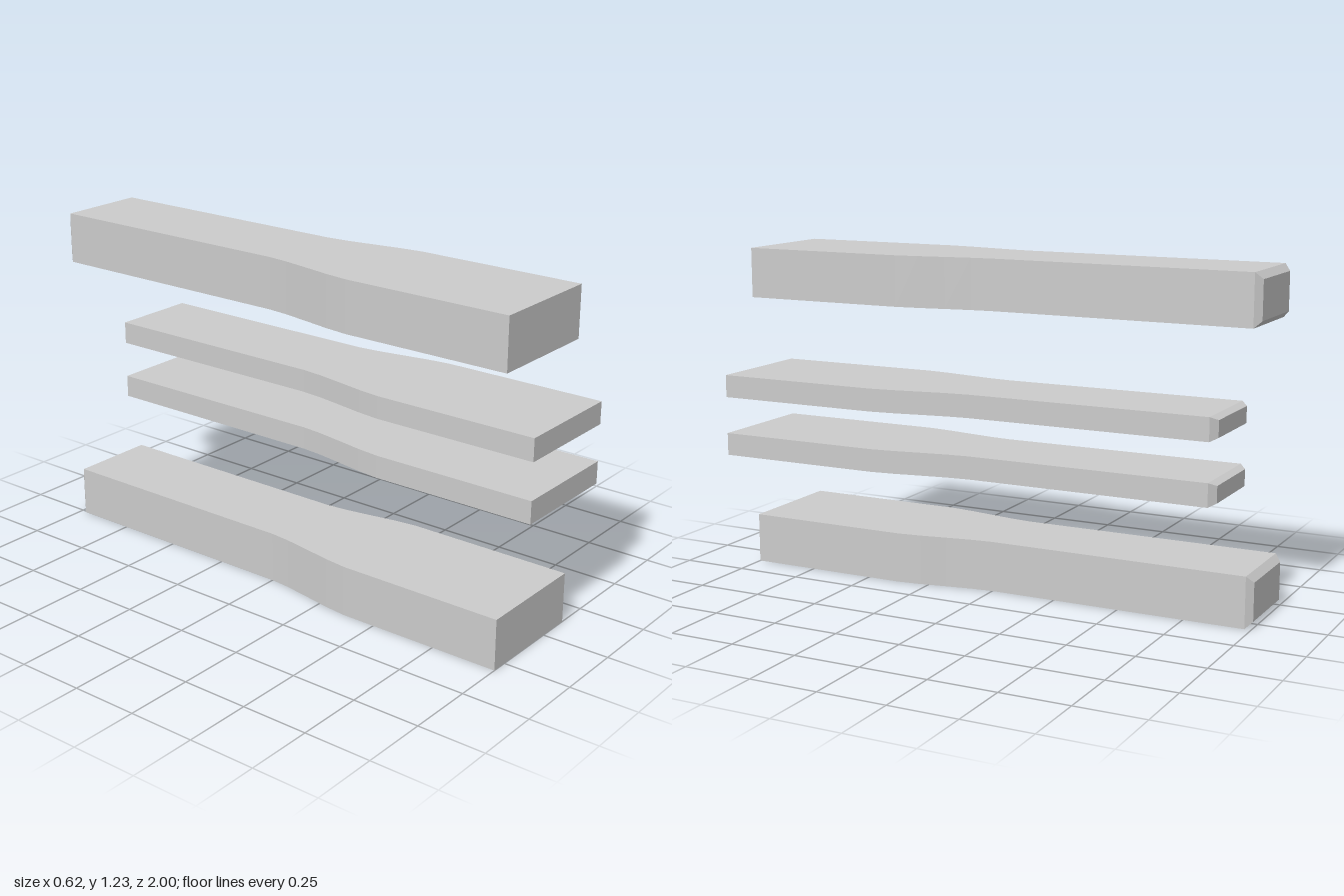
import * as THREE from 'three';

// Loft rectangular sections [z, halfWidth, halfHeight] from front to back, with end caps.
function loftBar(sections) {
  const rings = sections.map(([z, w, h]) => [[-w, -h, z], [w, -h, z], [w, h, z], [-w, h, z]]);
  const pos = [];
  const quad = (a, b, c, d) => pos.push(...a, ...b, ...c, ...a, ...c, ...d);
  for (let i = 0; i < rings.length - 1; i++) {
    for (let j = 0; j < 4; j++) {
      const k = (j + 1) % 4;
      quad(rings[i][j], rings[i + 1][j], rings[i + 1][k], rings[i][k]);
    }
  }
  const [a, b, c, d] = rings[0];
  quad(a, b, c, d);
  const [e, f, g, h] = rings[rings.length - 1];
  quad(h, g, f, e);
  const geo = new THREE.BufferGeometry();
  geo.setAttribute('position', new THREE.Float32BufferAttribute(pos, 3));
  geo.computeVertexNormals();
  return geo;
}

// Wide front, softly curved waist, straight shank and chamfered back end.
function barSections(backZ, halfHeight, insetX, insetY) {
  const outline = [[1, 0.218], [0.37, 0.218], [0.28, 0.207], [0.18, 0.189], [0.08, 0.172], [0, 0.164]];
  return [
    ...outline.map(([z, w]) => [z, w, halfHeight]),
    [backZ + 0.024, 0.164, halfHeight],
    [backZ, 0.164 - insetX, halfHeight - insetY],
  ];
}

export function createModel() {
  const model = new THREE.Group();
  const material = new THREE.MeshStandardMaterial({ color: 0xcccccc, flatShading: true });
  const thick = loftBar(barSections(-1, 0.094, 0.021, 0.024));
  const thin = loftBar(barSections(-0.922, 0.042, 0.024, 0.012));

  // Thick outer bars sit to the right, thin inner bars to the left.
  const bars = [
    ['lowerOuterBar', thick, -0.093, 0.094],
    ['lowerInnerBar', thin, 0.093, 0.505],
    ['upperInnerBar', thin, 0.093, 0.727],
    ['upperOuterBar', thick, -0.093, 1.136],
  ];
  for (const [name, geometry, x, y] of bars) {
    const bar = new THREE.Mesh(geometry, material);
    bar.name = name;
    bar.position.set(x, y, 0);
    model.add(bar);
  }
  return model;
}
